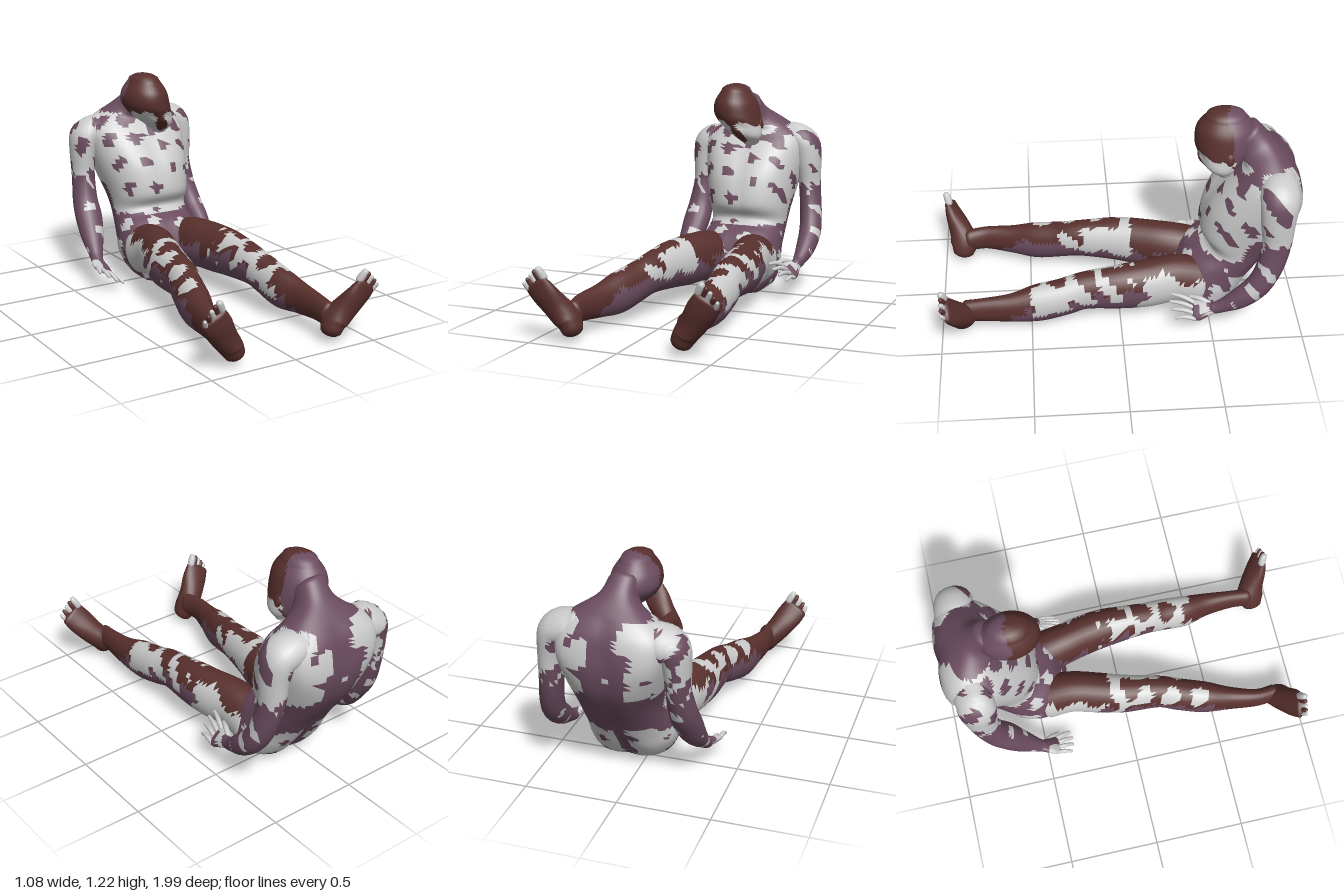
import * as THREE from 'three';

const V = (x, y, z) => new THREE.Vector3(x, y, z);
const SHADES = [['Pale', 0xcccccc], ['Purple', 0x6b4c5f], ['Red', 0x58302d]];
const MATS = SHADES.map(([, color]) => new THREE.MeshStandardMaterial({ color }));

// Smooth mottling field, about -1..1
const noise = (p) => (Math.sin(41 * p.x + 13 * p.y + 7 * p.z) + Math.sin(37 * p.y - 29 * p.z + 12 * p.x + 1)
  + Math.sin(43 * p.z + 23 * p.x - 19 * p.y + 2)) / 3;

// Catmull-Rom through rows of numbers
function smoothRows(rows, steps) {
  const out = [];
  const at = (i) => rows[Math.max(0, Math.min(rows.length - 1, i))];
  for (let i = 0; i < rows.length - 1; i++) {
    for (let s = 0; s < steps; s++) {
      const t = s / steps;
      out.push(rows[i].map((b, k) => {
        const a = at(i - 1)[k], c = at(i + 1)[k], d = at(i + 2)[k];
        return b + 0.5 * t * (c - a + t * (2 * a - 5 * b + 4 * c - d + t * (3 * (b - c) + d - a)));
      }));
    }
  }
  out.push(rows[rows.length - 1]);
  return out;
}

// Adds dome-shaped ends to a list of elliptical rings { c, u, v }
function roundEnds(rings, bulge) {
  const cap = (r, next) => {
    const dir = r.c.clone().sub(next.c).normalize();
    const len = Math.min(r.u.length(), r.v.length()) * bulge;
    return [25, 50, 72, 90].map((deg) => {
      const a = THREE.MathUtils.degToRad(deg), k = Math.cos(a);
      return { c: r.c.clone().addScaledVector(dir, len * Math.sin(a)), u: r.u.clone().multiplyScalar(k), v: r.v.clone().multiplyScalar(k) };
    });
  };
  const n = rings.length;
  return [...cap(rings[0], rings[1]).reverse(), ...rings, ...cap(rings[n - 1], rings[n - 2])];
}

// Skins rings into a closed surface; shape(angle, point) scales the radius
function skin(rings, seg = 24, bulge = 0.9, shape = () => 1) {
  const all = roundEnds(rings, bulge), pos = [], idx = [];
  all.forEach((r, i) => {
    for (let j = 0; j < seg; j++) {
      const a = (j / seg) * Math.PI * 2;
      const off = r.u.clone().multiplyScalar(Math.cos(a)).addScaledVector(r.v, Math.sin(a));
      off.multiplyScalar(shape(a, off.clone().add(r.c))).add(r.c);
      pos.push(off.x, off.y, off.z);
      if (i === all.length - 1) continue;
      const p = i * seg + j, q = i * seg + (j + 1) % seg;
      idx.push(p, q, p + seg, q, q + seg, p + seg);
    }
  });
  const g = new THREE.BufferGeometry();
  g.setAttribute('position', new THREE.Float32BufferAttribute(pos, 3));
  g.setIndex(idx);
  g.computeVertexNormals();
  return g;
}

// Limb rows: [x, y, z, half width, half depth]
function limb(rows, steps = 5, seg = 20, bulge = 0.9) {
  const r = smoothRows(rows, steps), pt = r.map((q) => V(q[0], q[1], q[2]));
  return skin(r.map((q, i) => {
    const t = pt[Math.min(i + 1, r.length - 1)].clone().sub(pt[Math.max(i - 1, 0)]).normalize();
    const side = V(1, 0, 0).addScaledVector(t, -t.x).normalize();
    return { c: pt[i], u: side.clone().multiplyScalar(q[3]), v: t.clone().cross(side).multiplyScalar(q[4]) };
  }), seg, bulge);
}

// Body rows: [centre x, front y, front z, back y, back z, half width]
const body = (rows, steps, seg, bulge, shape) => skin(smoothRows(rows, steps).map(([x, fy, fz, by, bz, w]) => ({
  c: V(x, (fy + by) / 2, (fz + bz) / 2), u: V(w, 0, 0), v: V(0, (by - fy) / 2, (bz - fz) / 2),
})), seg, bulge, shape);

// Splits a surface into skin tones, triangle by triangle
function part(name, geometry, tone) {
  const src = geometry.toNonIndexed(), P = src.attributes.position.array, N = src.attributes.normal.array;
  const bins = SHADES.map(() => ({ p: [], n: [] }));
  for (let i = 0; i < P.length; i += 9) {
    const mid = V(P[i] + P[i + 3] + P[i + 6], P[i + 1] + P[i + 4] + P[i + 7], P[i + 2] + P[i + 5] + P[i + 8]).divideScalar(3);
    const b = bins[tone(mid, noise(mid), V(N[i], N[i + 1], N[i + 2]))];
    for (let k = i; k < i + 9; k++) { b.p.push(P[k]); b.n.push(N[k]); }
  }
  const group = new THREE.Group();
  group.name = name;
  bins.forEach((b, i) => {
    if (!b.p.length) return;
    const g = new THREE.BufferGeometry();
    g.setAttribute('position', new THREE.Float32BufferAttribute(b.p, 3));
    g.setAttribute('normal', new THREE.Float32BufferAttribute(b.n, 3));
    const m = new THREE.Mesh(g, MATS[i]);
    m.name = name + SHADES[i][0];
    group.add(m);
  });
  return group;
}

const bell = (d, w) => Math.exp(-(d * d) / (w * w));

export function createModel() {
  const model = new THREE.Group();
  model.name = 'seatedFigure';
  const add = (...a) => model.add(part(...a));
  const H = Math.PI / 2;

  // Slumped torso and neck, with spine groove, shoulder blades and chest
  const torso = body([
    [0.075, 0.06, -0.31, 0.008, -0.46, 0.165], [0.08, 0.15, -0.29, 0.04, -0.59, 0.225],
    [0.07, 0.26, -0.32, 0.13, -0.67, 0.25], [0.072, 0.36, -0.38, 0.22, -0.73, 0.238],
    [0.08, 0.43, -0.49, 0.34, -0.805, 0.225], [0.08, 0.52, -0.45, 0.45, -0.885, 0.237],
    [0.073, 0.66, -0.48, 0.58, -0.965, 0.268], [0.068, 0.78, -0.55, 0.72, -1.0, 0.293],
    [0.065, 0.87, -0.62, 0.86, -0.985, 0.3], [0.07, 0.92, -0.66, 0.945, -0.945, 0.26],
    [0.075, 0.95, -0.67, 1.02, -0.875, 0.175], [0.06, 0.975, -0.64, 1.085, -0.81, 0.1],
    [0.045, 1.01, -0.6, 1.155, -0.745, 0.085]], 5, 48, 0.35, (a, p) => {
    const back = a - H, front = a - 3 * H, sq = 1 + 0.05 * (1 - Math.cos(4 * a)) / 2;
    const high = bell(p.y - 0.8, 0.15), low = bell(p.y - 0.12, 0.1);
    return sq - (0.04 + 0.06 * low + 0.05 * high) * bell(back, 0.2) * (p.y < 0.98 ? 1 : 0) - 0.035 * bell(front, 0.12)
      + high * (0.09 * bell(Math.abs(back) - 0.75, 0.32) + 0.05 * bell(Math.abs(front) - 0.5, 0.3))
      + 0.04 * low * bell(Math.abs(back) - 0.5, 0.3);
  });
  add('torso', torso, (p, n, nor) => {
    const side = Math.abs(p.x - 0.065);
    if (p.y > 0.97) return 1;
    if (nor.z < 0) {
      if (p.y < 0.27 + 0.06 * n) return side > 0.03 && n > -0.6 ? 0 : 1;
      return side > 0.12 + 0.12 * n && p.y > 0.55 ? 0 : 1;
    }
    if (p.y < 0.4) return n > 0.35 ? 0 : 1;
    return n < -0.42 || (p.y > 0.84 && n < -0.05) ? 1 : 0;
  });

  // Bowed head: skull, brow, nose and jaw from chin to crown
  const head = body([
    [0.112, 0.875, -0.53, 0.885, -0.61, 0.045], [0.1, 0.92, -0.47, 0.92, -0.645, 0.08],
    [0.06, 0.98, -0.435, 0.98, -0.7, 0.115], [0.028, 1.05, -0.415, 1.05, -0.745, 0.134],
    [0.02, 1.12, -0.422, 1.12, -0.735, 0.122], [0.018, 1.18, -0.465, 1.18, -0.69, 0.085]], 6, 36, 0.5,
  (a, p) => 1 + 0.14 * bell(a - 3 * H, 0.13) * bell(p.y - 0.95, 0.028)
    - 0.06 * bell(Math.abs(a - 3 * H) - 0.4, 0.2) * bell(p.y - 0.985, 0.025) + 0.03 * bell(a - 3 * H, 0.5) * bell(p.y - 1.02, 0.025));
  add('head', head, (p, n) => {
    if (p.y < 0.99 + 0.05 * n && p.z > -0.62) return n > -0.2 ? 0 : 2;
    return p.z < -0.6 + 0.06 * n ? 1 : 2;
  });
  for (const s of [1, -1]) {
    const ear = new THREE.SphereGeometry(1, 12, 10).scale(0.012, 0.036, 0.024);
    ear.rotateZ(0.25).translate(0.043 + s * 0.125, 1.015 - s * 0.02, -0.59);
    add(s > 0 ? 'leftEar' : 'rightEar', ear, () => 2);
  }

  // Hand: flat palm, four fingers and a thumb; spread points to the thumb side
  function hand(name, wrist, knuckle, tip, spread) {
    const t = knuckle.clone().sub(wrist).normalize();
    const thick = t.clone().cross(spread).normalize();
    const ring = (f, w, d) => ({ c: wrist.clone().lerp(knuckle, f), u: spread.clone().multiplyScalar(w), v: thick.clone().multiplyScalar(d) });
    add(name + 'Palm', skin([ring(-0.15, 0.5, 0.026), ring(0.3, 0.75, 0.026), ring(0.7, 1, 0.023), ring(1, 0.98, 0.017)], 18, 0.8),
      (p, n) => (n > -0.1 ? 0 : 1));
    const finger = (id, a, b, r) => {
      const m = a.clone().lerp(b, 0.5).addScaledVector(V(0, 1, 0), 0.01);
      add(name + id, limb([[a, r], [m, r], [b, r * 0.7]].map(([q, k]) => [q.x, q.y, q.z, k, k]), 4, 10), () => 0);
    };
    for (let i = 0; i < 4; i++) {
      const f = i / 1.5 - 1, reach = [0.8, 0.97, 1.03, 0.94][i];
      const a = knuckle.clone().addScaledVector(spread, f * 0.78);
      const b = knuckle.clone().lerp(tip, reach).addScaledVector(spread, f * 1.1);
      finger('Finger' + (i + 1), a, b, 0.0125);
    }
    finger('Thumb', wrist.clone().addScaledVector(spread, 0.55).addScaledVector(t, 0.02),
      knuckle.clone().addScaledVector(spread, 1.4).addScaledVector(t, 0.02), 0.015);
  }

  // Arms hanging back, shoulders sunk into the torso, forearms brought forward
  const armTone = (p, n) => (p.y > 0.5 ? (n > -0.3 && p.y > 0.58 + 0.15 * n ? 0 : 1) : (n > 0.55 ? 0 : 1));
  add('leftArm', limb([[0.22, 0.89, -0.84, 0.09, 0.1], [0.31, 0.885, -0.84, 0.09, 0.108], [0.37, 0.85, -0.835, 0.085, 0.105],
    [0.39, 0.74, -0.83, 0.074, 0.094], [0.4, 0.6, -0.83, 0.064, 0.08], [0.42, 0.45, -0.795, 0.064, 0.074],
    [0.435, 0.34, -0.735, 0.064, 0.068], [0.438, 0.26, -0.645, 0.056, 0.06], [0.43, 0.2, -0.55, 0.037, 0.038],
    [0.425, 0.18, -0.5, 0.03, 0.033]]), armTone);
  add('rightArm', limb([[-0.1, 0.865, -0.84, 0.09, 0.1], [-0.19, 0.86, -0.835, 0.085, 0.108], [-0.25, 0.835, -0.825, 0.085, 0.105],
    [-0.268, 0.74, -0.82, 0.073, 0.094], [-0.272, 0.6, -0.81, 0.066, 0.08], [-0.283, 0.46, -0.77, 0.074, 0.074],
    [-0.29, 0.36, -0.71, 0.08, 0.07], [-0.305, 0.26, -0.64, 0.066, 0.06], [-0.325, 0.18, -0.56, 0.042, 0.038],
    [-0.335, 0.15, -0.52, 0.034, 0.032]]), armTone);
  hand('leftHand', V(0.425, 0.18, -0.5), V(0.415, 0.16, -0.4), V(0.385, 0.18, -0.275), V(-0.042, 0.04, 0));
  hand('rightHand', V(-0.335, 0.15, -0.52), V(-0.338, 0.115, -0.44), V(-0.325, 0.09, -0.35), V(0.062, -0.035, 0));

  // Outstretched legs: [z, y, half height, half width, left x, right x]
  const legRows = [[-0.44, 0.2, 0.15, 0.125, 0.2, -0.06], [-0.3, 0.235, 0.145, 0.115, 0.218, -0.075],
    [-0.15, 0.235, 0.145, 0.112, 0.252, -0.115], [0, 0.235, 0.135, 0.106, 0.27, -0.155], [0.2, 0.225, 0.115, 0.088, 0.278, -0.185],
    [0.32, 0.195, 0.112, 0.088, 0.29, -0.22], [0.46, 0.165, 0.115, 0.085, 0.295, -0.258], [0.6, 0.152, 0.092, 0.062, 0.312, -0.292],
    [0.75, 0.148, 0.075, 0.047, 0.313, -0.322], [0.86, 0.14, 0.068, 0.046, 0.308, -0.313]];
  const legTone = (p, n, nor) => {
    if (p.z > -0.08 && p.z < 0.5 && nor.y > -0.3 && n > 0.05) return 0;
    if (p.z < -0.1 + 0.08 * n && Math.abs(p.x - 0.065) > 0.17 && nor.y + 0.5 * n < 0.5) return 0;
    return p.z < 0.6 + 0.1 * n && nor.y + 0.4 * n < 0.1 ? 1 : 2;
  };
  for (const s of [1, -1]) {
    const side = s > 0 ? 'left' : 'right';
    add(side + 'Leg', limb(legRows.map(([z, y, h, w, l, r]) => [s > 0 ? l : r, y, z, w, h]), 6, 28, 0.5), legTone);

    // Foot turned out, sole facing forward
    add(side + 'Foot', limb([[0.302, 0.07, 0.895, 0.056, 0.064], [0.33, 0.12, 0.888, 0.066, 0.08], [0.38, 0.182, 0.91, 0.073, 0.064],
      [0.43, 0.25, 0.942, 0.08, 0.046], [0.467, 0.303, 0.962, 0.075, 0.028]].map(([x, ...r]) => [s * x, ...r]), 5, 22, 0.7), () => 2);

    // Toes, largest on the inner side
    for (let i = 0; i < 5; i++) {
      const f = i / 2 - 1, r = i ? 0.0155 - i * 0.0008 : 0.021, len = [1, 1.05, 0.95, 0.8, 0.65][i];
      const x = 0.468 + f * 0.045, y = 0.31 - f * 0.033;
      add(side + 'Toe' + (i + 1), limb([[s * x, y, 0.965, r, r], [s * (x + 0.014 * len), y + 0.026 * len, 0.973, r, r],
        [s * (x + 0.022 * len), y + 0.042 * len, 0.98, r * 0.85, r * 0.85]], 3, 10), () => (i % 2 ? 2 : 0));
    }
  }
  return model;
}
